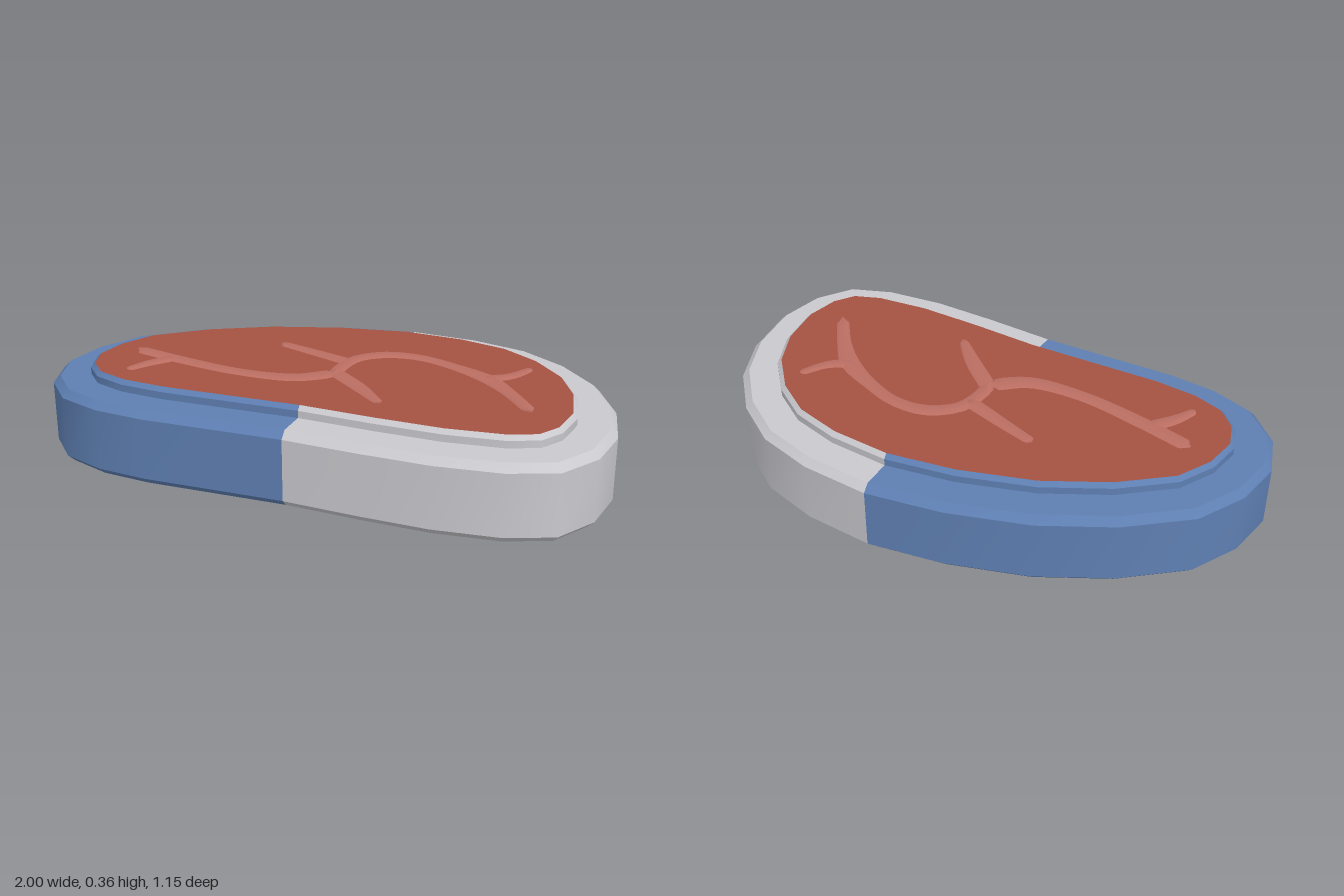
import * as THREE from 'three';

const mat = (name, color) => {
  const m = new THREE.MeshStandardMaterial({ color });
  m.name = name;
  return m;
};

// Outline seen from above as [x, z], starting at the back colour split, going round by +x
const OUTLINE = [
  [0.11, -0.58], [0.36, -0.56], [0.57, -0.5], [0.74, -0.385], [0.88, -0.225], [0.965, -0.04],
  [1, 0.17], [0.97, 0.35], [0.88, 0.49], [0.72, 0.55], [0.5, 0.57], [0.26, 0.56],
  [0, 0.54], [-0.21, 0.54], [-0.5, 0.54], [-0.68, 0.52], [-0.84, 0.46], [-0.95, 0.34],
  [-1, 0.18], [-0.97, 0], [-0.88, -0.17], [-0.68, -0.33], [-0.44, -0.455], [-0.16, -0.54],
];
const N = OUTLINE.length;
const FRONT_SPLIT = 12;

// Outline moved inwards by d with mitred corners
function inset(d) {
  const normal = (a, b) => {
    const dx = b[0] - a[0], dz = b[1] - a[1], l = Math.hypot(dx, dz);
    return [-dz / l, dx / l];
  };
  return OUTLINE.map((p, i) => {
    const n1 = normal(OUTLINE[(i + N - 1) % N], p);
    const n2 = normal(p, OUTLINE[(i + 1) % N]);
    const k = d / (1 + n1[0] * n2[0] + n1[1] * n2[1]);
    return [p[0] + (n1[0] + n2[0]) * k, p[1] + (n1[1] + n2[1]) * k];
  });
}

// Side profile as [inset, height], from the lower plate over the rind to the upper plate
const PROFILE = [
  [0.145, 0.008], [0.13, 0.022], [0.13, 0.045], [0.025, 0.045], [0, 0.07],
  [0, 0.285], [0.025, 0.31], [0.13, 0.31], [0.13, 0.335], [0.145, 0.35],
];

// Walls between two outline indices; each profile band has its own smooth normals
function wallGeometry(from, to) {
  const pos = [], idx = [];
  for (let b = 0; b < PROFILE.length - 1; b++) {
    const lo = inset(PROFILE[b][0]), hi = inset(PROFILE[b + 1][0]);
    const base = pos.length / 3;
    for (let i = from; i <= to; i++) {
      const p = lo[i % N], q = hi[i % N];
      pos.push(p[0], PROFILE[b][1], p[1], q[0], PROFILE[b + 1][1], q[1]);
      if (i < to) {
        const k = base + (i - from) * 2;
        idx.push(k, k + 1, k + 2, k + 2, k + 1, k + 3);
      }
    }
  }
  return indexed(pos, idx);
}

function indexed(pos, idx) {
  const g = new THREE.BufferGeometry();
  g.setAttribute('position', new THREE.Float32BufferAttribute(pos, 3));
  g.setIndex(idx);
  g.computeVertexNormals();
  return g;
}

// Flat face at height y, facing up (s = 1) or down (s = -1)
function faceGeometry(points, y, s) {
  const shape = new THREE.Shape(points.map(([x, z]) => new THREE.Vector2(x, -s * z)));
  return new THREE.ShapeGeometry(shape).rotateX(-s * Math.PI / 2).translate(0, y, 0);
}

// Vein branches as [x, z, half width]
const VEINS = [
  [[-0.745, 0.085, 0.035], [-0.55, 0.135, 0.035], [-0.3, 0.18, 0.033], [-0.1, 0.165, 0.04], [0.015, 0.08, 0.045]],
  [[-0.68, 0.29, 0.018], [-0.64, 0.21, 0.028], [-0.58, 0.13, 0.035]],
  [[-0.275, -0.145, 0.022], [-0.155, -0.105, 0.028], [0.03, -0.04, 0.035]],
  [[0.015, 0.1, 0.03], [0.015, 0, 0.03], [0.04, -0.09, 0.033], [0.13, -0.16, 0.035], [0.25, -0.168, 0.03],
    [0.38, -0.122, 0.03], [0.52, -0.045, 0.04], [0.62, 0.06, 0.03], [0.73, 0.21, 0.026]],
  [[0.645, -0.185, 0.018], [0.59, -0.09, 0.027], [0.52, -0.04, 0.035]],
  [[0, 0.06, 0.035], [0.14, 0.185, 0.032], [0.245, 0.295, 0.018]],
];

// Shallow raised ribbon with rounded ends
function veinGeometry(points, y, s) {
  const curve = new THREE.CatmullRomCurve3(points.map(([x, z, w]) => new THREE.Vector3(x, w, z)));
  const section = [[-1, -0.002], [-0.55, 0.006], [0.55, 0.006], [1, -0.002]];
  const pos = [], idx = [], steps = 28, length = curve.getLength();
  for (let i = 0; i <= steps; i++) {
    const u = i / steps;
    const p = curve.getPointAt(u), t = curve.getTangentAt(u);
    const l = Math.hypot(t.x, t.z);
    const end = Math.min(1, Math.min(u, 1 - u) * length / p.y);
    const w = p.y * Math.sqrt(1 - (1 - end) ** 2);
    for (const [a, h] of section) pos.push(p.x - t.z / l * w * a, y + s * h, p.z + t.x / l * w * a);
    if (i === steps) break;
    for (let j = 0; j < 3; j++) {
      const k = i * 4 + j;
      if (s > 0) idx.push(k, k + 1, k + 4, k + 1, k + 5, k + 4);
      else idx.push(k, k + 4, k + 1, k + 1, k + 4, k + 5);
    }
  }
  return indexed(pos, idx);
}

export function createModel() {
  const white = mat('fat white', 0xc9c9ce);
  const blue = mat('rind blue', 0x5e7fb2);
  const red = mat('meat red', 0xa55241);
  const pink = mat('vein pink', 0xbb6e62);
  const group = new THREE.Group();
  group.name = 'steak';
  const add = (name, geometry, material) => {
    const mesh = new THREE.Mesh(geometry, material);
    mesh.name = name;
    group.add(mesh);
  };

  // Two-coloured rind with the plate edges
  add('whiteRind', wallGeometry(0, FRONT_SPLIT), white);
  add('blueRind', wallGeometry(FRONT_SPLIT, N), blue);

  // Meat on top
  const edge = inset(0.145);
  add('topMeat', faceGeometry(edge, 0.35, 1), red);

  // Underside in three colours that meet at the vein junction
  const hub = [0, 0.06], backBend = [0.07, -0.13];
  const sideBend = [[0.26, 0], [0.58, -0.02], [0.64, -0.15]];
  add('bottomMeat', faceGeometry([...edge.slice(4, 14), hub, ...sideBend], 0.008, -1), red);
  add('bottomWhite', faceGeometry([...edge.slice(0, 5), ...[...sideBend].reverse(), hub, backBend], 0.008, -1), white);
  add('bottomBlue', faceGeometry([...edge.slice(13), edge[0], backBend, hub], 0.008, -1), blue);

  // Veins on both faces; the lower front branch lies in the red area
  VEINS.forEach((points, i) => {
    add('topVein', veinGeometry(points, 0.35, 1), pink);
    add('bottomVein', veinGeometry(points, 0.0065, -1), i === 5 ? red : white);
  });
  return group;
}
